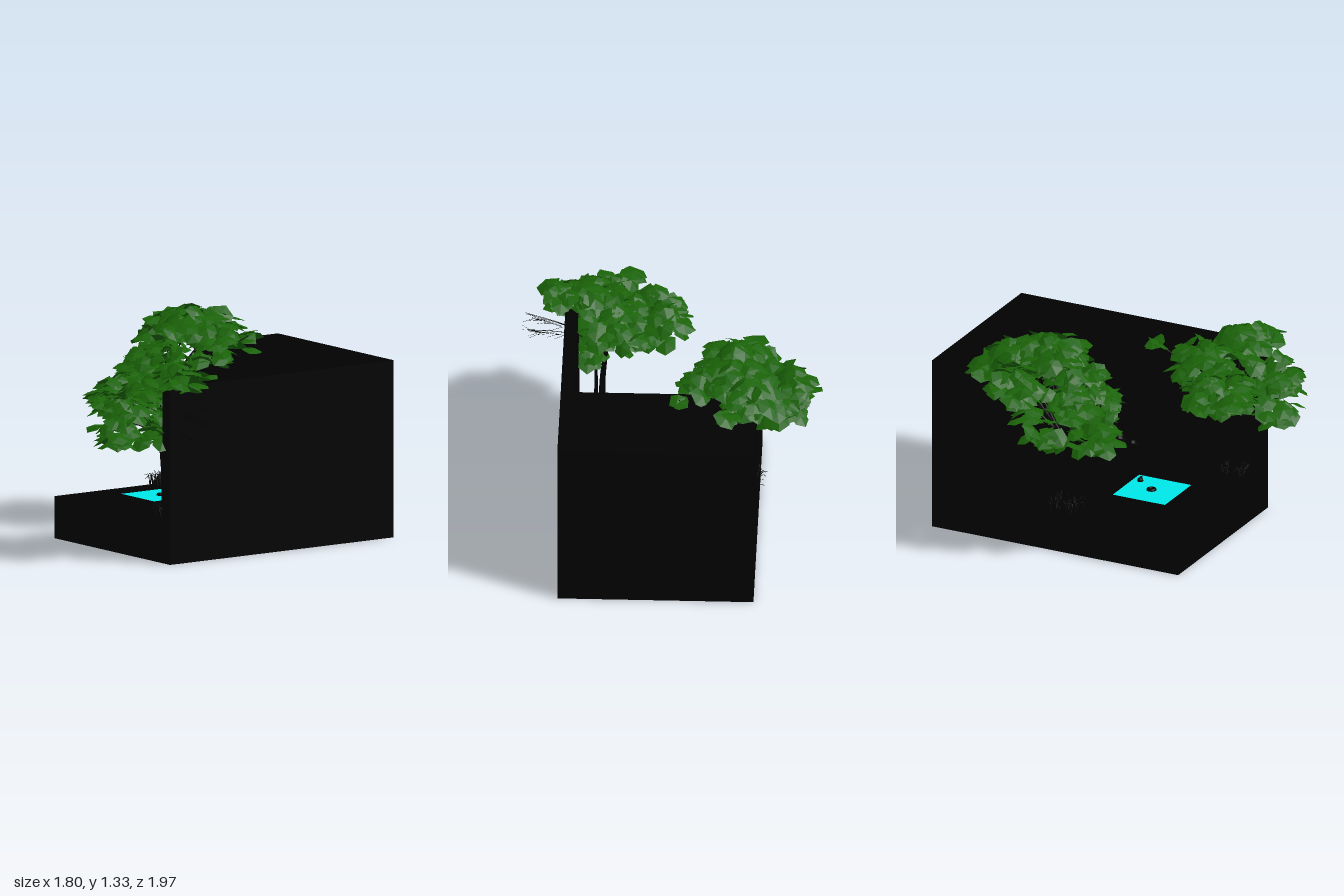
import * as THREE from 'three';
import { mergeGeometries } from 'three/addons/utils/BufferGeometryUtils.js';

const dark = new THREE.MeshStandardMaterial({ color: 0x010101 });
const darkThin = new THREE.MeshStandardMaterial({ color: 0x010101, side: THREE.DoubleSide });
const water = new THREE.MeshStandardMaterial({ color: 0x00e6e6 });
const green = new THREE.MeshStandardMaterial({ color: 0x1a6208, side: THREE.DoubleSide });

let seed = 7;
const rnd = (a = 0, b = 1) => {
  seed = (seed * 16807) % 2147483647;
  return a + (b - a) * (seed / 2147483647);
};
const V = (x, y, z) => new THREE.Vector3(x, y, z);

function add(parent, name, geometry, material = dark, x = 0, y = 0, z = 0) {
  const m = new THREE.Mesh(geometry, material);
  m.name = name;
  m.position.set(x, y, z);
  parent.add(m);
  return m;
}

// Box given by its limits on each axis
function box(parent, name, x0, x1, y0, y1, z0, z1, material = dark) {
  return add(parent, name, new THREE.BoxGeometry(x1 - x0, y1 - y0, z1 - z0), material,
    (x0 + x1) / 2, (y0 + y1) / 2, (z0 + z1) / 2);
}

// Rectangular ring extruded along z
function frameGeometry(w, h, border, depth) {
  const rect = (T, a, b) => new T([[-a, -b], [a, -b], [a, b], [-a, b]].map(p => new THREE.Vector2(...p)));
  const s = rect(THREE.Shape, w / 2, h / 2);
  s.holes.push(rect(THREE.Path, w / 2 - border, h / 2 - border));
  return new THREE.ExtrudeGeometry(s, { depth, bevelEnabled: false });
}

// Squarish pointed leaf, folded along its midrib
function leafGeometry() {
  const rim = [[0, 0, -0.5], [-0.44, -0.08, -0.42], [-0.46, -0.13, 0.25], [0, -0.14, 0.6],
    [0.46, -0.13, 0.25], [0.44, -0.08, -0.42]];
  const pos = [];
  rim.forEach((p, i) => pos.push(0, 0.03, 0, ...p, ...rim[(i + 1) % rim.length]));
  const g = new THREE.BufferGeometry();
  g.setAttribute('position', new THREE.Float32BufferAttribute(pos, 3));
  g.computeVertexNormals();
  return g;
}

// Leaves spread loosely over the skin of several flattened blobs
function foliage(clusters) {
  const leaf = leafGeometry(), parts = [], o = new THREE.Object3D();
  o.rotation.order = 'YXZ';
  for (const [cx, cy, cz, rx, ry, rz, n] of clusters) {
    for (let i = 0; i < n; i++) {
      const a = rnd(0, 6.283), up = rnd(-0.85, 1), r = Math.sqrt(1 - up * up) * rnd(0.6, 1.15);
      o.position.set(cx + Math.sin(a) * r * rx, cy + up * ry, cz + Math.cos(a) * r * rz);
      o.rotation.set(rnd(0, 0.7), a + rnd(-1.2, 1.2), rnd(-0.35, 0.35));
      o.scale.setScalar(rnd(0.095, 0.135));
      o.updateMatrix();
      parts.push(leaf.clone().applyMatrix4(o.matrix));
    }
  }
  return mergeGeometries(parts);
}

// Tapering limb through a few points
function limb(points, r0, r1, segments = 8, sides = 6) {
  const curve = new THREE.CatmullRomCurve3(points);
  const g = new THREE.TubeGeometry(curve, segments, 1, sides);
  const p = g.attributes.position, c = V(), q = V();
  for (let i = 0; i < p.count; i++) {
    const t = Math.floor(i / (sides + 1)) / segments;
    curve.getPointAt(t, c);
    q.fromBufferAttribute(p, i).sub(c).multiplyScalar(r0 + (r1 - r0) * t).add(c);
    p.setXYZ(i, q.x, q.y, q.z);
  }
  g.computeVertexNormals();
  return g;
}

function tree(root, name, base, fork, clusters) {
  const g = new THREE.Group();
  g.name = name;
  root.add(g);
  add(g, 'trunk', limb([base, base.clone().lerp(fork, 0.5).add(V(0.012, 0, 0)), fork], 0.022, 0.013));
  add(g, 'secondStem', limb([base.clone().add(V(0.04, 0, 0.02)), fork.clone().add(V(0.06, 0.02, 0.02))], 0.012, 0.008));
  const branches = clusters.map(([x, y, z]) => {
    const end = V(x, y, z);
    return limb([fork, fork.clone().lerp(end, 0.5).add(V(0, 0.03, 0)), end], 0.008, 0.003);
  });
  add(g, 'branches', mergeGeometries(branches));
  add(g, 'leaves', foliage(clusters), green);
}

// Clump of bent grass blades
function grass(root, name, x, y, z, n, sx, sz) {
  const blades = [];
  for (let i = 0; i < n; i++) {
    const a = rnd(0, 6.28), l = rnd(0.03, 0.06), b = V(rnd(-sx, sx), 0, rnd(-sz, sz));
    const d = V(Math.sin(a) * l, 0, Math.cos(a) * l);
    blades.push(limb([b, b.clone().addScaledVector(d, 0.4).add(V(0, rnd(0.04, 0.08), 0)),
      b.clone().add(d).add(V(0, rnd(0.03, 0.07), 0))], 0.004, 0.0008, 4, 3));
  }
  add(root, name, mergeGeometries(blades), darkThin, x, y, z);
}

export function createModel() {
  const root = new THREE.Group();
  root.name = 'courtyardHouse';
  const floor = 0.25, wallZ = -0.39, left = -0.515, right = 0.637, front = 0.625;

  // Masses: base slab, house block and tall side wall
  box(root, 'base', left, right, 0, floor, wallZ, front);
  box(root, 'houseBlock', left, right, 0, 1.055, -1, wallZ);
  box(root, 'sideWall', 0.56, right, floor, 1.055, wallZ, front);

  // Plinth and step at the foot of the facade
  box(root, 'plinth', -0.36, 0.36, floor, 0.275, wallZ, wallZ + 0.02);
  box(root, 'doorStep', -0.1, 0.14, floor, 0.3, wallZ, wallZ + 0.05);

  // Door with frame, panels, lintel and knob
  box(root, 'door', -0.03, 0.08, 0.3, 0.61, wallZ, wallZ + 0.008);
  add(root, 'doorFrame', frameGeometry(0.14, 0.34, 0.015, 0.02), dark, 0.025, 0.47, wallZ);
  for (const x of [0, 0.05]) for (const y of [0.37, 0.47, 0.56])
    box(root, 'doorPanel', x - 0.017, x + 0.017, y - 0.035, y + 0.035, wallZ, wallZ + 0.013);
  box(root, 'doorLintel', -0.055, 0.105, 0.64, 0.655, wallZ, wallZ + 0.03);
  add(root, 'doorKnob', new THREE.SphereGeometry(0.007, 12, 8), dark, 0.07, 0.44, wallZ + 0.02);

  // Windows with sill
  for (const x of [-0.3, 0.325]) {
    add(root, 'windowFrame', frameGeometry(0.2, 0.16, 0.012, 0.018), dark, x, 0.515, wallZ);
    box(root, 'windowSill', x - 0.11, x + 0.11, 0.425, 0.437, wallZ, wallZ + 0.035);
  }

  // Pool with raised rim and floating toys
  const rim = add(root, 'poolRim', frameGeometry(0.43, 0.43, 0.04, 0.035), dark, -0.033, floor, 0.205);
  rim.rotation.x = -Math.PI / 2;
  box(root, 'poolWater', -0.208, 0.145, floor, 0.28, 0.028, 0.38, water);
  add(root, 'floatRing', new THREE.TorusGeometry(0.02, 0.01, 8, 20).rotateX(Math.PI / 2), dark, -0.03, 0.283, 0.2);
  add(root, 'floatBall', new THREE.SphereGeometry(0.018, 16, 10), dark, 0.06, 0.284, 0.08);
  add(root, 'floatHandle', new THREE.CapsuleGeometry(0.004, 0.012, 4, 8).rotateX(1.2), dark, 0.11, 0.284, 0.06);

  // Pots beside the wall and the door
  const pot = new THREE.LatheGeometry([[0, 0], [0.018, 0], [0.03, 0.03], [0.026, 0.055], [0.03, 0.065],
    [0.024, 0.065], [0.02, 0.045], [0, 0.045]].map(p => new THREE.Vector2(...p)), 20);
  for (const [x, y, z, s] of [[0.48, floor, -0.33, 1], [0.49, floor, -0.26, 1.3], [0.495, floor, -0.18, 1],
    [0.15, 0.29, -0.35, 0.8]]) {
    add(root, 'pot', pot, darkThin, x, y, z).scale.setScalar(s);
  }

  // Trees: blobs are centre, radii, leaf count
  tree(root, 'leftTree', V(-0.46, floor, -0.15), V(-0.51, 0.75, -0.15), [
    [-0.4, 1.21, -0.27, 0.19, 0.09, 0.2, 60], [-0.45, 1.14, -0.48, 0.2, 0.1, 0.17, 55],
    [-0.6, 1.1, -0.64, 0.05, 0.06, 0.05, 8], [-0.34, 1.1, -0.66, 0.04, 0.03, 0.04, 6],
    [-0.7, 1.1, -0.36, 0.12, 0.12, 0.15, 45], [-0.25, 1.08, -0.32, 0.16, 0.1, 0.13, 40],
    [-0.34, 1.02, -0.06, 0.12, 0.12, 0.13, 40], [-0.53, 1.05, -0.1, 0.1, 0.13, 0.13, 35],
    [-0.44, 0.95, 0.06, 0.16, 0.1, 0.1, 40], [-0.51, 0.81, 0.13, 0.13, 0.12, 0.1, 40],
    [-0.62, 0.83, -0.08, 0.1, 0.14, 0.17, 35], [-0.75, 0.9, -0.25, 0.04, 0.12, 0.08, 12],
    [-0.06, 1.08, -0.49, 0.01, 0.01, 0.01, 2]]);
  tree(root, 'rightTree', V(0.42, floor, 0.5), V(0.4, 0.72, 0.52), [
    [0.35, 1.0, 0.34, 0.2, 0.11, 0.17, 60], [0.08, 0.9, 0.52, 0.15, 0.12, 0.13, 50],
    [0.12, 0.94, 0.66, 0.15, 0.1, 0.06, 25], [0.36, 0.95, 0.6, 0.19, 0.13, 0.16, 50],
    [0.54, 1.09, 0.52, 0.14, 0.08, 0.14, 35], [0.37, 0.83, 0.82, 0.19, 0.15, 0.1, 50],
    [0.48, 0.95, 0.78, 0.1, 0.1, 0.12, 25], [0.28, 0.98, 0.88, 0.05, 0.05, 0.04, 8],
    [0.48, 0.75, 0.55, 0.08, 0.09, 0.16, 25], [0.68, 1.08, 0.56, 0.08, 0.03, 0.12, 18],
    [0.23, 1.1, 0.1, 0.02, 0.02, 0.02, 3]]);

  // Bare twigs reaching past the side wall
  const twigs = [];
  for (const [y, z] of [[0.97, 0.5], [0.92, 0.58], [0.77, 0.62], [0.86, 0.5]]) {
    const a = V(0.45, 0.78, 0.52), b = V(rnd(0.85, 0.9), y, z);
    twigs.push(limb([a, a.clone().lerp(b, 0.5).add(V(0, 0.02, 0)), b], 0.003, 0.001, 8, 4));
    for (let i = 0; i < 8; i++) {
      const s = a.clone().lerp(b, rnd(0.45, 0.9));
      const e = s.clone().add(V(rnd(0.04, 0.09), rnd(-0.03, 0.05), rnd(-0.04, 0.04)));
      e.x = Math.min(e.x, 0.9);
      twigs.push(limb([s, e], 0.0015, 0.0007, 3, 3));
    }
  }
  add(root, 'twigs', mergeGeometries(twigs));

  // Ground planting around the trunks
  grass(root, 'leftPlants', -0.45, floor, -0.15, 110, 0.07, 0.08);
  grass(root, 'rightPlants', 0.46, floor, 0.5, 110, 0.07, 0.07);
  return root;
}
